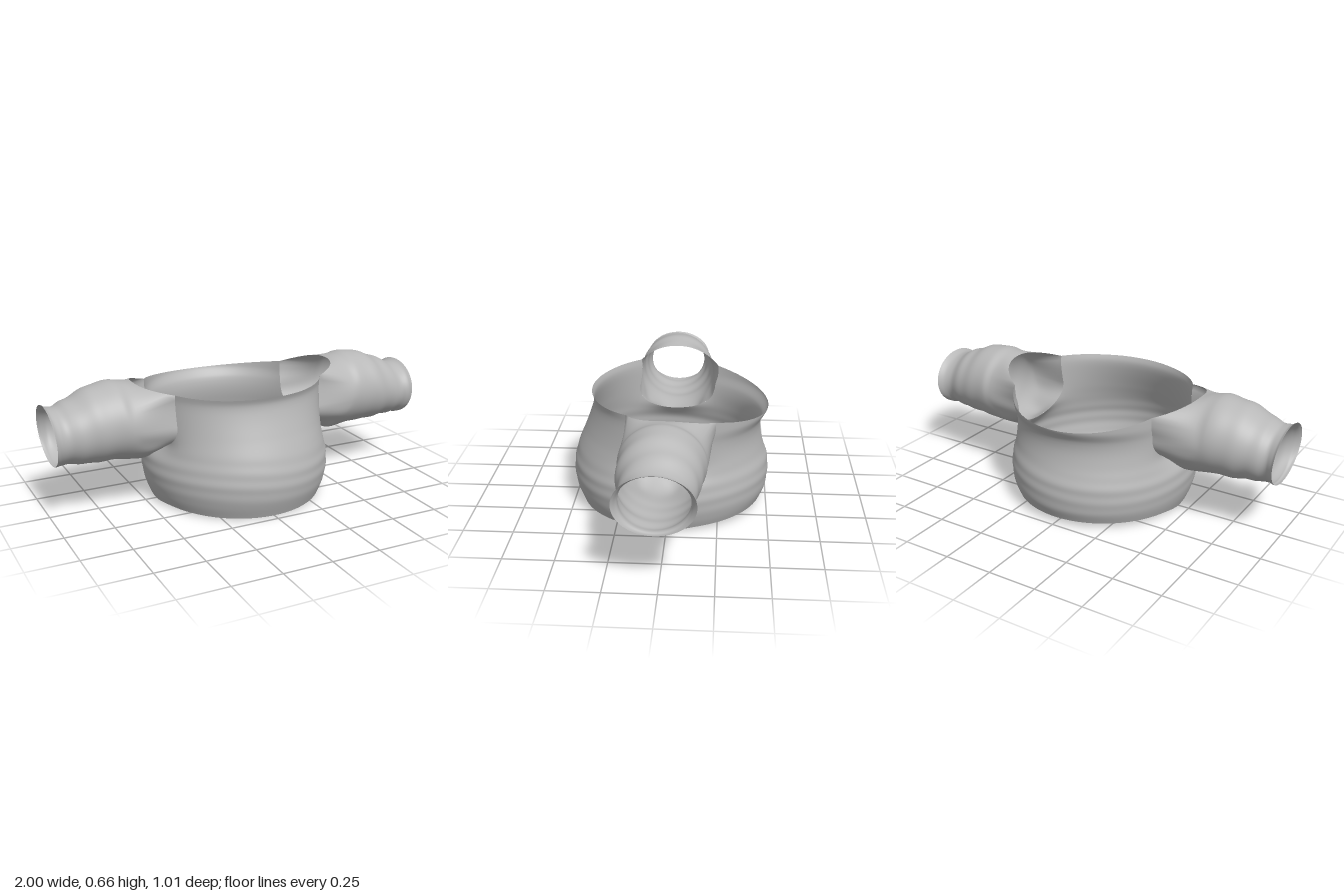
import * as THREE from 'three';
import { mergeVertices } from 'three/addons/utils/BufferGeometryUtils.js';

const ARM = 0.489; // half angle of each armhole around the body
const ARM_Y = 0.44; // armhole centre height
const ARM_LOW = 0.31; // lowest point of the armhole

// body profiles: [height, half size]
const WIDTH = [[0, 0.44], [0.07, 0.466], [0.15, 0.48], [0.22, 0.477], [0.3, 0.462], [0.4, 0.452], [0.5, 0.453], [0.65, 0.458]];
const FRONT = [[0, 0.463], [0.1, 0.499], [0.2, 0.506], [0.3, 0.483], [0.4, 0.442], [0.5, 0.406], [0.56, 0.395], [0.6, 0.408]];
const BACK = [[0, 0.46], [0.03, 0.472], [0.1, 0.499], [0.22, 0.502], [0.32, 0.472], [0.4, 0.458], [0.46, 0.465], [0.52, 0.497], [0.65, 0.5]];

// sleeve stations: [x, top, bottom, front, back]
const SLEEVE = [
  [0.6, 0.647, 0.256, 0.212, -0.205], [0.66, 0.658, 0.266, 0.208, -0.2],
  [0.75, 0.645, 0.269, 0.203, -0.188], [0.83, 0.618, 0.273, 0.192, -0.172],
  [0.9, 0.586, 0.281, 0.178, -0.152], [0.95, 0.566, 0.285, 0.176, -0.145],
  [0.975, 0.57, 0.282, 0.19, -0.158], [0.99, 0.578, 0.284, 0.2, -0.17],
];

// smooth cubic lookup in a profile
function lookup(p, y) {
  let i = 0;
  while (i < p.length - 2 && y > p[i + 1][0]) i++;
  const slope = (k) => {
    const a = p[Math.max(k - 1, 0)], b = p[Math.min(k + 1, p.length - 1)];
    return (b[1] - a[1]) / (b[0] - a[0]);
  };
  const h = p[i + 1][0] - p[i][0];
  const t = THREE.MathUtils.clamp((y - p[i][0]) / h, 0, 1), t2 = t * t, t3 = t2 * t;
  return (2 * t3 - 3 * t2 + 1) * p[i][1] + (t3 - 2 * t2 + t) * h * slope(i)
    + (3 * t2 - 2 * t3) * p[i + 1][1] + (t3 - t2) * h * slope(i + 1);
}

const bell = (v, width) => Math.exp(-((v / width) ** 2));

// point on the oval body wall at an angle (0 = +x, 90 degrees = front) and height
function bodyPoint(angle, y) {
  const c = Math.cos(angle), s = Math.sin(angle);
  const fold = 1 + 0.003 * bell(y - 0.2, 0.09) * Math.sin(y * 85 + 1.6 * Math.sin(angle * 2));
  const tuck = 1 - 0.11 * bell(y - 0.34, 0.06) * bell(s, 0.32); // armpit
  return new THREE.Vector3(
    lookup(WIDTH, y) * c * fold * tuck, y, lookup(s > 0 ? FRONT : BACK, y) * s * fold);
}

// one smooth surface from several grids of points
function gridGeometry(grids) {
  const points = [], index = [];
  for (const columns of grids) {
    const start = points.length, rows = columns[0].length;
    for (let u = 0; u < columns.length - 1; u++) {
      for (let v = 0; v < rows - 1; v++) {
        const a = start + u * rows + v, b = a + rows;
        index.push(a, a + 1, b, b, a + 1, b + 1);
      }
    }
    points.push(...columns.flat());
  }
  let g = new THREE.BufferGeometry().setFromPoints(points);
  g.setIndex(index);
  g = mergeVertices(g, 1e-5);
  g.computeVertexNormals();
  return g;
}

// wall between two angles; levels lists [height at an angle, rows up to it]
function wall(from, to, steps, levels) {
  const columns = [];
  for (let i = 0; i <= steps; i++) {
    const a = from + (to - from) * i / steps;
    const column = [bodyPoint(a, levels[0][0](a))];
    for (let k = 1; k < levels.length; k++) {
      const low = levels[k - 1][0](a), high = levels[k][0](a), rows = levels[k][1];
      for (let j = 1; j <= rows; j++) column.push(bodyPoint(a, low + (high - low) * j / rows));
    }
    columns.push(column);
  }
  return columns;
}

// wavy hem, lowest at the sides and higher at the back
function hem(a) {
  const s = Math.sin(a);
  return 0.02 - 0.014 * s - 0.017 * bell(s, 0.2);
}

// neckline: level in front, falling towards the back
function neckline(a) {
  const z = bodyPoint(a, 0.55).z;
  return z > 0 ? 0.608 - 0.016 * Math.min(1, z / 0.35) : 0.62 + 0.205 * z;
}

// lower edge of the armhole
function armhole(a) {
  const d = Math.asin(THREE.MathUtils.clamp(Math.sin(a), -1, 1)) / ARM;
  return ARM_Y - (ARM_Y - ARM_LOW) * Math.sqrt(Math.max(0, 1 - d * d));
}

function bodyGeometry() {
  const PI = Math.PI, low = () => ARM_LOW, middle = () => ARM_Y;
  const grids = [];
  for (const start of [0, PI]) {
    const underarm = [start - ARM, start + ARM, 40], panel = [start + ARM, start + PI - ARM, 64];
    for (const span of [underarm, panel]) grids.push(wall(...span, [[hem], [low, 32]]));
    grids.push(wall(...underarm, [[low], [armhole, 12]]));
    grids.push(wall(...panel, [[low], [middle, 12], [neckline, 14]]));
  }
  return gridGeometry(grids);
}

// point of the armhole seam; its top runs over the shoulder as part of the neckline
function seamPoint(c, s) {
  if (c <= 0) return bodyPoint(ARM * s, ARM_Y + (ARM_Y - ARM_LOW) * c);
  const k = Math.acos(c) / (Math.PI / 2) * 1.5; // 1 at the corner of the neckline
  const sign = Math.sign(s), d = sign * Math.min(1, k);
  const corner = neckline(ARM * (sign || 1));
  if (k > 1) return bodyPoint(ARM * d, THREE.MathUtils.lerp(corner, ARM_Y, (k - 1) * 2));
  const p = bodyPoint(ARM * d, corner + (0.635 - corner) * (1 - d * d));
  p.x += 0.09 * (1 - Math.abs(d) ** 3);
  return p;
}

// sleeve tube from the armhole seam to the flared cuff
function sleeveGeometry(side) {
  const columns = [];
  for (let i = 0; i <= 72; i++) {
    const phi = (i % 72) / 72 * Math.PI * 2;
    const c = Math.cos(phi), s = -side * Math.sin(phi);
    const path = [seamPoint(c, s)];
    SLEEVE.forEach(([x, top, bottom, front, back], k) => {
      const lean = k === 0 ? 0.09 * Math.min(0, c) : k > 5 ? 0.01 * c : 0;
      path.push(new THREE.Vector3(x + lean,
        (top + bottom) / 2 + (top - bottom) / 2 * c,
        (front + back) / 2 + (front - back) / 2 * s));
    });
    const curve = new THREE.CatmullRomCurve3(path, false, 'centripetal');
    columns.push(curve.getPoints(64).map((p, j) => {
      // soft creases, fading at the seam and the cuff, and gathers under the arm
      const t = j / 64, fade = Math.sin(Math.PI * t) ** 2;
      const crease = 0.0025 * fade * (Math.sin(t * 34 + 1.5 * Math.sin(phi + side))
        + 0.7 * Math.sin(t * 21 - 2 * s + side));
      const gather = 0.007 * Math.max(0, -c) * bell(t - 0.1, 0.06) * Math.sin(9 * phi);
      const out = crease + gather;
      return new THREE.Vector3(side * p.x, p.y + out * c, p.z + out * s);
    }));
  }
  return gridGeometry([columns]);
}

export function createModel() {
  const group = new THREE.Group();
  group.name = 'croppedTop';
  const cloth = new THREE.MeshStandardMaterial({ color: 0xb8b8b8, side: THREE.DoubleSide });
  cloth.name = 'greyCloth';
  const add = (name, geometry) => {
    const mesh = new THREE.Mesh(geometry, cloth);
    mesh.name = name;
    group.add(mesh);
  };
  add('body', bodyGeometry());
  add('leftSleeve', sleeveGeometry(1));
  add('rightSleeve', sleeveGeometry(-1));
  return group;
}
